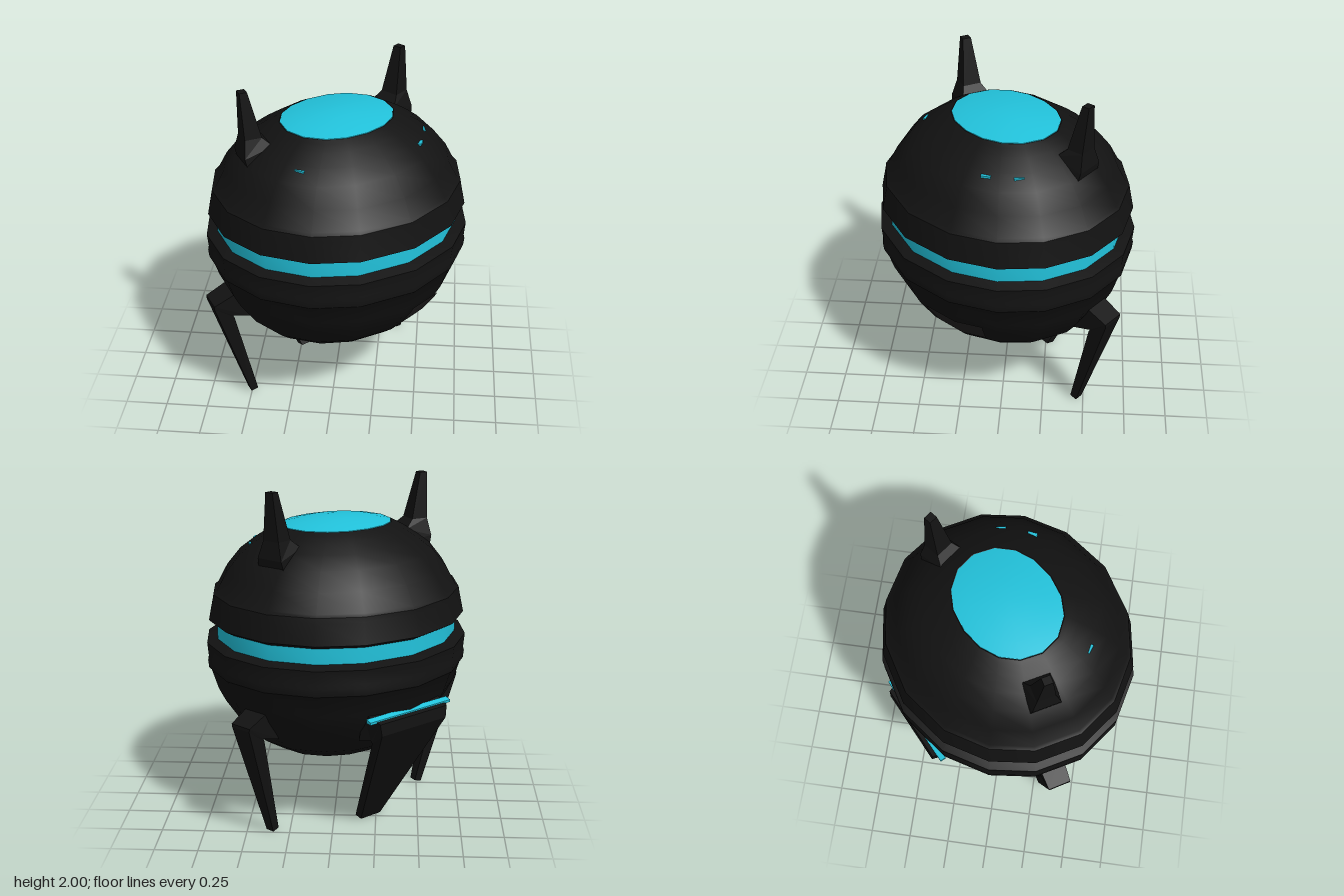
import * as THREE from 'three';
import { toCreasedNormals } from 'three/addons/utils/BufferGeometryUtils.js';

const rad = THREE.MathUtils.degToRad;
const mat = (color) => new THREE.MeshStandardMaterial({ color });

// Irregular 16-sided outline, slightly squashed along the 48 degree axis
const HALF = [0, 22, 48, 74.5, 96, 118, 139, 160];
const ANGLES = [...HALF, ...HALF.map((a) => a + 180)].map(rad);

function corner(r, y, i) {
  const a = ANGLES[i % 16];
  const R = r - 0.03 * Math.min(1, r / 0.25) * Math.cos(2 * (a - rad(48)));
  return new THREE.Vector3(R * Math.cos(a), y, R * Math.sin(a));
}
// Point on the outline at a fractional corner index
function ringPoint(r, y, s) {
  const i = Math.floor(s);
  return corner(r, y, i).lerp(corner(r, y, i + 1), s - i);
}

// Skin a [radius, height] profile, listed from top to bottom
function ringSkin(profile, steps = [...Array(17).keys()]) {
  const pos = [], index = [], n = steps.length;
  for (const [r, y] of profile) for (const s of steps) pos.push(...ringPoint(r, y, s).toArray());
  for (let j = 0; j < profile.length - 1; j++) {
    for (let i = 0; i < n - 1; i++) {
      const a = j * n + i, b = a + n;
      if (profile[j][0] > 0) index.push(a, a + 1, b);
      if (profile[j + 1][0] > 0) index.push(a + 1, b + 1, b);
    }
  }
  const g = new THREE.BufferGeometry();
  g.setAttribute('position', new THREE.Float32BufferAttribute(pos, 3));
  g.setIndex(index);
  return toCreasedNormals(g, 0.6);
}

// Four-sided limb in a radial plane; section = [outer r, outer y, inner r, inner y, half width]
function limb(sections, degrees) {
  const a = rad(degrees), c = Math.cos(a), s = Math.sin(a), pos = [];
  const at = (r, y, w) => [r * c - w * s, y, r * s + w * c];
  const loops = sections.map(([ro, yo, ri, yi, w]) =>
    [at(ro, yo, -w), at(ro, yo, w), at(ri, yi, w), at(ri, yi, -w)]);
  const quad = (p, q, r, t) => pos.push(...p, ...q, ...r, ...p, ...r, ...t);
  for (let i = 0; i < loops.length - 1; i++) {
    for (let k = 0; k < 4; k++) {
      const m = (k + 1) % 4;
      quad(loops[i][k], loops[i][m], loops[i + 1][m], loops[i + 1][k]);
    }
  }
  const first = loops[0], last = loops[loops.length - 1];
  quad(first[3], first[2], first[1], first[0]);
  quad(...last);
  const g = new THREE.BufferGeometry();
  g.setAttribute('position', new THREE.Float32BufferAttribute(pos, 3));
  g.computeVertexNormals();
  return g;
}

export function createModel() {
  const model = new THREE.Group();
  const black = mat(0x121212), cyan = mat(0x22c3dc), grey = mat(0x222020);
  const add = (name, geometry, material) => {
    const mesh = new THREE.Mesh(geometry, material);
    mesh.name = name;
    model.add(mesh);
    return mesh;
  };

  // Body shells, divided by the glowing band
  add('upperShell', ringSkin([
    [0.29, 1.74], [0.315, 1.75], [0.345, 1.735], [0.39, 1.71], [0.475, 1.655], [0.56, 1.59],
    [0.64, 1.49], [0.695, 1.385], [0.715, 1.37], [0.72, 1.34], [0.745, 1.22], [0.69, 1.19],
  ]), black);
  add('glowBand', ringSkin([[0.697, 1.2], [0.697, 1.1]]), cyan);
  add('lowerShell', ringSkin([
    [0.69, 1.105], [0.76, 1.085], [0.752, 1.0], [0.758, 0.98], [0.753, 0.935], [0.738, 0.92],
    [0.7, 0.8], [0.66, 0.72], [0.56, 0.57], [0.49, 0.51], [0.36, 0.43], [0.31, 0.41], [0.285, 0.42],
  ]), black);

  // Shallow lenses at the top and the bottom
  add('topLens', ringSkin([[0, 1.788], [0.1, 1.783], [0.22, 1.77], [0.31, 1.752], [0.31, 1.74]]), cyan);
  add('bottomLens', ringSkin([[0.295, 0.42], [0.295, 0.407], [0.25, 0.395], [0.12, 0.378], [0, 0.374]]), cyan);

  // Inset panel on the lower shell
  add('sidePanel', ringSkin([[0.682, 0.75], [0.667, 0.72], [0.587, 0.6]], [0.36, 1, 1.77]), grey);

  // Two slender legs and two antennae
  for (const [side, legAngle, antennaAngle] of [['right', 149.5, 151], ['left', -52.3, -54.5]]) {
    add(side + 'Leg', limb([
      [0.64, 0.8, 0.6, 0.6, 0.08], [0.82, 0.72, 0.71, 0.63, 0.07],
      [0.82, 0.7, 0.7, 0.61, 0.066], [0.6, 0, 0.555, 0.01, 0.027],
    ], legAngle), black);
    add(side + 'Antenna', limb([
      [0.585, 2, 0.54, 2, 0.025], [0.575, 1.73, 0.475, 1.73, 0.055],
      [0.59, 1.63, 0.42, 1.68, 0.085], [0.56, 1.5, 0.4, 1.6, 0.1],
    ], antennaAngle), black);
  }

  // Broad tapering rear leg with a glowing seam above it
  add('rearLeg', limb([
    [0.58, 0.8, 0.54, 0.62, 0.27], [0.7, 0.76, 0.62, 0.64, 0.25],
    [0.705, 0.69, 0.62, 0.62, 0.24], [0.33, 0, 0.28, 0.01, 0.075],
  ], 228.6), black);
  add('rearSeam', limb([
    [0.64, 0.787, 0.64, 0.765, 0.3], [0.676, 0.776, 0.676, 0.762, 0.3],
  ], 228.6), cyan);

  // Small indicator lights
  for (const [degrees, r] of [[108.5, 0.495], [-12, 0.495], [9, 0.48]]) {
    const light = add('indicatorLight', new THREE.BoxGeometry(0.03, 0.012, 0.055), cyan);
    const a = rad(degrees);
    light.position.set(r * Math.cos(a), 1.636, r * Math.sin(a));
    light.rotation.y = -a;
  }
  return model;
}
